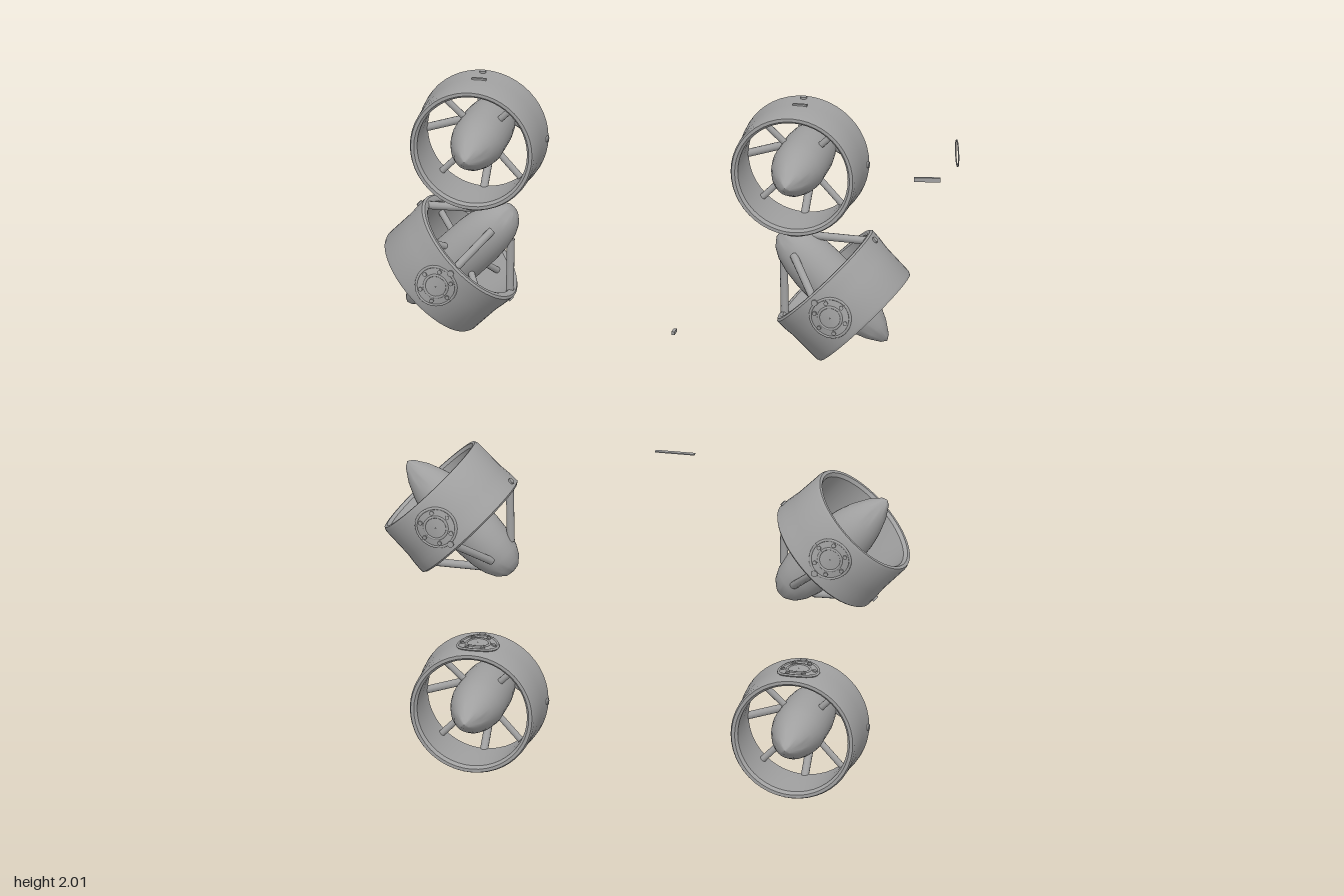
import * as THREE from 'three';
import { toCreasedNormals } from 'three/addons/utils/BufferGeometryUtils.js';

const grey = new THREE.MeshStandardMaterial({ color: 0xa0a0a0 });
grey.name = 'plain grey';

function part(name, geometry, parent) {
  const mesh = new THREE.Mesh(geometry, grey);
  mesh.name = name;
  parent.add(mesh);
  return mesh;
}

// Solid of revolution along z, from [radius, z] pairs
function turned(profile, segments) {
  const points = profile.map(([r, z]) => new THREE.Vector2(r, z));
  return toCreasedNormals(new THREE.LatheGeometry(points, segments).rotateX(Math.PI / 2), 0.6);
}

// Round rod between two points
function rod(a, b, radius) {
  const dir = b.clone().sub(a);
  const g = new THREE.CylinderGeometry(radius, radius, dir.length(), 10);
  g.applyQuaternion(new THREE.Quaternion().setFromUnitVectors(new THREE.Vector3(0, 1, 0), dir.normalize()));
  const mid = a.clone().add(b).multiplyScalar(0.5);
  return g.translate(mid.x, mid.y, mid.z);
}

// Wraps a flat shape (height in y) around the duct at radius r
function wrap(geometry, r, z) {
  const p = geometry.attributes.position;
  for (let i = 0; i < p.count; i++) {
    const a = p.getX(i) / r, d = r + p.getY(i);
    p.setXYZ(i, Math.sin(a) * d, Math.cos(a) * d, p.getZ(i) + z);
  }
  geometry.computeVertexNormals();
  return geometry;
}

const polar = (angle, r, z) => new THREE.Vector3(Math.sin(angle) * r, Math.cos(angle) * r, z);

const bodyShape = turned([
  [0, 0], [0.022, 0.004], [0.043, 0.022], [0.058, 0.05], [0.068, 0.09], [0.073, 0.14], [0.074, 0.25],
  [0.068, 0.29], [0.057, 0.33], [0.038, 0.375], [0.015, 0.41], [0, 0.42],
], 32);
const ductShape = turned([
  [0.158, 0.172], [0.164, 0.168], [0.174, 0.168], [0.18, 0.173], [0.179, 0.2], [0.175, 0.235],
  [0.174, 0.322], [0.17, 0.331], [0.161, 0.331], [0.154, 0.322], [0.154, 0.25], [0.158, 0.172],
], 48);

// Thruster with its tail at the origin, nose along +z and access cover on +y
function thruster() {
  const g = new THREE.Group();
  part('body', bodyShape, g);
  part('duct', ductShape, g);

  for (let i = 0; i < 4; i++) {
    const a = i * Math.PI / 2, d = a + Math.PI / 4;
    part('rearStrut', rod(polar(a, 0.058, 0.068), polar(a, 0.168, 0.182), 0.011), g);
    part('innerVane', rod(polar(d, 0.06, 0.2), polar(d, 0.162, 0.21), 0.009), g);
    part('bolt', rod(polar(a, 0.165, 0.19), polar(a, 0.184, 0.19), 0.009), g);
  }

  // Rounded access cover with rims and small vents
  part('cover', wrap(new THREE.RingGeometry(0.001, 0.058, 32, 4).rotateX(-Math.PI / 2), 0.179, 0.25), g);
  for (const r of [0.056, 0.032]) {
    part('coverRim', wrap(new THREE.TorusGeometry(r, 0.004, 6, 32).rotateX(Math.PI / 2), 0.178, 0.25), g);
  }
  for (let i = 0; i < 6; i++) {
    const a = i * Math.PI / 3;
    const vent = new THREE.CylinderGeometry(0.006, 0.006, 0.008, 8)
      .translate(Math.cos(a) * 0.044, 0, Math.sin(a) * 0.044);
    part('coverVent', wrap(vent, 0.179, 0.25), g);
  }

  // Slot on the far side of the duct and a row of studs on the body
  part('ductSlot', new THREE.BoxGeometry(0.04, 0.006, 0.008).translate(0, -0.176, 0.235), g);
  for (let i = -2; i <= 2; i++) {
    const p = polar(Math.PI + i * 0.28, 0.065, 0.08);
    part('stud', new THREE.SphereGeometry(0.006, 8, 6).translate(p.x, p.y, p.z), g);
  }
  return g;
}

function place(name, position, cover, axis, parent) {
  const t = thruster();
  t.name = name;
  const y = new THREE.Vector3(...cover), z = new THREE.Vector3(...axis).normalize();
  t.quaternion.setFromRotationMatrix(new THREE.Matrix4().makeBasis(y.clone().cross(z), y, z));
  t.position.set(...position);
  parent.add(t);
}

export function createModel() {
  const model = new THREE.Group();
  model.name = 'thrusterSet';

  // Four thrusters facing forward, four angled outward
  for (const side of [-1, 1]) {
    for (const up of [-1, 1]) {
      const label = (side > 0 ? 'left' : 'right') + (up > 0 ? 'Upper' : 'Lower');
      place(label + 'ForwardThruster', [-0.019 + side * 0.449, 1 + up * 0.82, -0.03],
        [0, -up, 0], [0, 0, 1], model);
      place(label + 'AngledThruster', [-0.055 + side * 0.375, 1 + up * 0.529, -0.047],
        [0, 0, 1], [side, -up, 0], model);
    }
  }

  // Small loose fittings
  const ring = part('thinRing', new THREE.TorusGeometry(0.036, 0.002, 6, 32), model);
  ring.position.set(0.763, 1.712, -0.262);
  ring.rotation.y = Math.PI / 2 + 0.34;
  const bar = part('shortBar', new THREE.BoxGeometry(0.072, 0.012, 0.008), model);
  bar.position.set(0.69, 1.645, -0.217);
  bar.rotation.y = 0.18;
  part('flatStrip', new THREE.BoxGeometry(0.11, 0.003, 0.013), model).position.set(-0.016, 0.79, -0.216);
  part('smallPin', new THREE.BoxGeometry(0.009, 0.009, 0.026), model).position.set(-0.056, 1.08, -0.378);
  return model;
}
